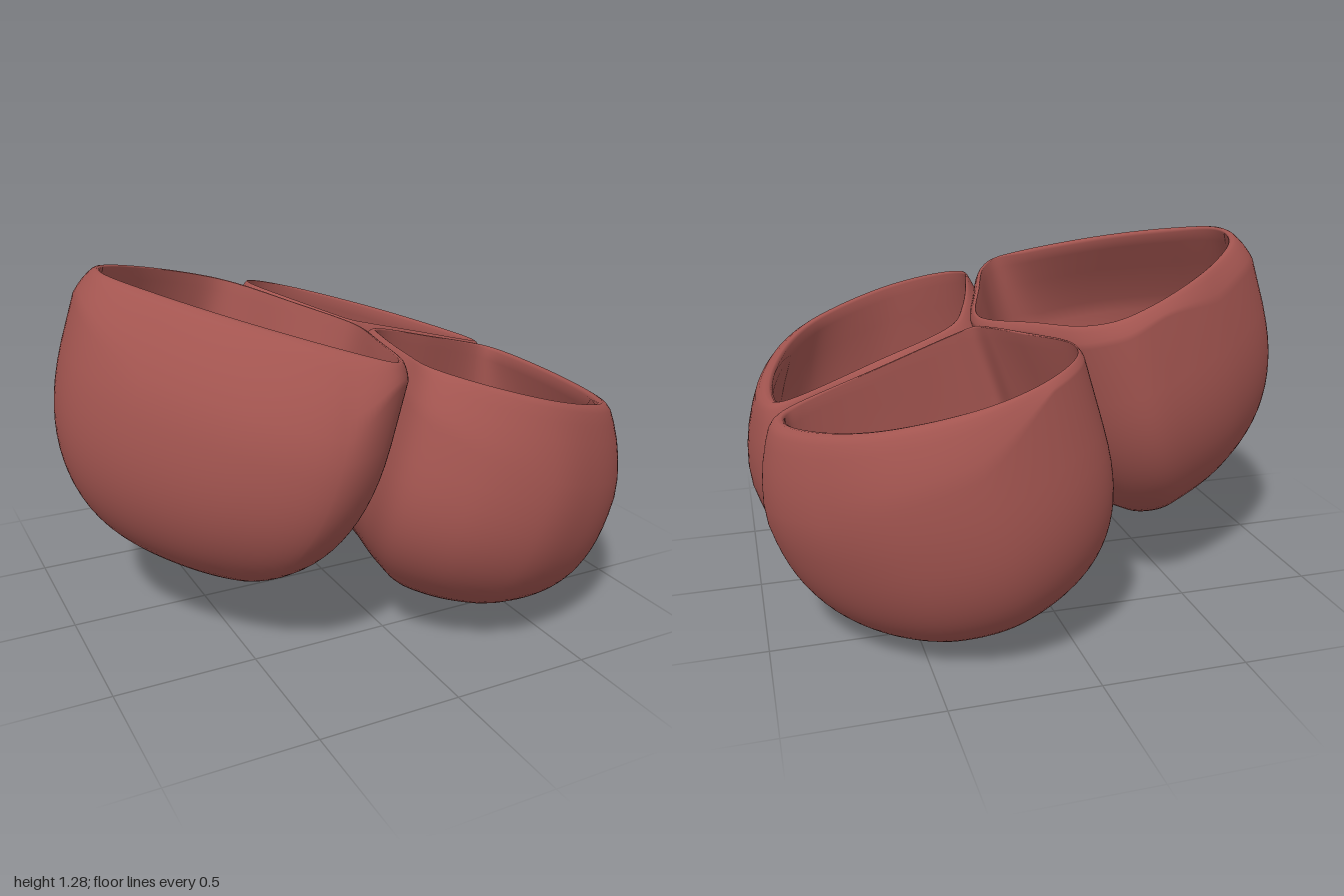
import * as THREE from 'three';

const SEGMENTS = 140;

// Smooth closed outline through [u, z] points
function outline(points) {
  const curve = new THREE.CatmullRomCurve3(points.map(([u, z]) => new THREE.Vector3(u, 0, z)), true);
  return Array.from({ length: SEGMENTS }, (_, i) => curve.getPoint(i / SEGMENTS));
}

// One hollow cup: inner bowl, rounded lip and outer bowl as a single loft.
// pairs: [opening u, opening z, belly u, belly z] going round the rim
function cupGeometry({ pairs, center, depth, power }) {
  const opening = outline(pairs.map(p => [p[0], p[1]]));
  const belly = outline(pairs.map(p => [p[2], p[3]]));
  const c = new THREE.Vector3(center[0], 0, center[1]);
  const innerBelly = belly.map(p => p.clone().lerp(c, 0.085));
  // thin shared walls get a tight lip, outer sides a long soft shoulder
  const softness = opening.map((p, i) => THREE.MathUtils.clamp((p.distanceTo(belly[i]) - 0.02) / 0.14, 0.12, 1));
  const bellyV = softness.map(s => -0.25 - 0.07 * s);
  const steps = 22;
  const rings = [];
  const add = (line, height) => rings.push(line.map((p, i) => new THREE.Vector3(p.x, height(i), p.z)));
  const mix = (a, b, t) => a.map((p, i) => p.clone().lerp(b[i], t));
  const bowl = (line, bottom, k) => {
    const a = (k / steps) * Math.PI / 2;
    const r = Math.max(Math.pow(Math.cos(a), 2 / power), 0.0005);
    const d = Math.pow(Math.sin(a), 2 / power);
    const mean = line.reduce((sum, p) => sum + p.distanceTo(c), 0) / SEGMENTS;
    // the section grows rounder towards the bottom
    const ring = line.map(p => c.clone().lerp(p, r * THREE.MathUtils.lerp(1, mean / p.distanceTo(c), 0.12 * d * d)));
    add(ring, i => bellyV[i] + (bottom - bellyV[i]) * d);
  };

  // inner bowl, bottom to opening
  for (let k = steps; k >= 0; k--) bowl(innerBelly, -depth + 0.05, k);
  add(mix(innerBelly, opening, 0.5), i => 0.5 * bellyV[i]);
  add(mix(innerBelly, opening, 0.9), i => 0.18 * bellyV[i]);
  // lip and shoulder
  const lip = [[0, -0.014], [0.06, -0.004], [0.14, 0], [0.25, -0.006], [0.36, -0.022],
    [0.5, -0.06], [0.68, -0.12], [0.82, -0.18], [0.94, -0.25]];
  lip.forEach(([t, v]) => add(mix(opening, belly, t), i => v * softness[i]));
  // outer bowl, belly to bottom
  for (let k = 0; k <= steps; k++) bowl(belly, -depth, k);

  const positions = [], index = [];
  rings.forEach(ring => ring.forEach(p => positions.push(p.x, p.y, p.z)));
  for (let j = 0; j < rings.length - 1; j++) {
    for (let i = 0; i < SEGMENTS; i++) {
      const n = (i + 1) % SEGMENTS;
      const a = j * SEGMENTS + i, b = j * SEGMENTS + n;
      index.push(a, b, a + SEGMENTS, b, b + SEGMENTS, a + SEGMENTS);
    }
  }
  const geometry = new THREE.BufferGeometry();
  geometry.setAttribute('position', new THREE.Float32BufferAttribute(positions, 3));
  geometry.setIndex(index);
  geometry.computeVertexNormals();
  return geometry;
}

const cups = {
  largeRightCup: {
    center: [-0.31, 0.05], depth: 0.94, power: 2.3,
    pairs: [
      [-0.83, 0, -0.915, 0.05], [-0.79, -0.2, -0.85, -0.25], [-0.6, -0.42, -0.59, -0.5],
      [-0.32, -0.59, -0.33, -0.635], [-0.17, -0.615, -0.17, -0.67], [-0.08, -0.55, -0.04, -0.59],
      [0.03, -0.33, 0.065, -0.34], [0.14, -0.11, 0.175, -0.11], [0.155, 0, 0.185, 0.01],
      [0.06, 0.33, 0.1, 0.34], [-0.05, 0.65, -0.01, 0.68], [-0.12, 0.72, -0.1, 0.78],
      [-0.25, 0.66, -0.25, 0.82], [-0.52, 0.45, -0.52, 0.68], [-0.73, 0.2, -0.82, 0.32],
    ],
  },
  frontCup: {
    center: [0.6, 0.29], depth: 0.863, power: 2.5,
    pairs: [
      [0.25, 0, 0.18, -0.03], [0.33, -0.06, 0.25, -0.09], [0.57, -0.125, 0.57, -0.17],
      [0.88, -0.195, 0.98, -0.255],
      [0.93, -0.17, 1.08, -0.2], [0.95, -0.05, 1.135, -0.03], [0.92, 0.25, 1.115, 0.25],
      [0.81, 0.6, 1.03, 0.58], [0.68, 0.78, 0.87, 0.82], [0.47, 0.88, 0.62, 0.95],
      [0.3, 0.885, 0.42, 0.99], [0.13, 0.8, 0.17, 0.93], [0.05, 0.68, 0.015, 0.78],
      [0.08, 0.5, 0.03, 0.55], [0.17, 0.18, 0.125, 0.18],
    ],
  },
  backCup: {
    center: [0.53, -0.53], depth: 0.86, power: 2.5,
    pairs: [
      [0.21, -0.145, 0.17, -0.105], [0.17, -0.21, 0.13, -0.2], [0.1, -0.4, 0.05, -0.39],
      [0.01, -0.68, -0.01, -0.65], [0.04, -0.8, 0.025, -0.81], [0.17, -0.9, 0.18, -0.94],
      [0.36, -0.92, 0.45, -1.0],
      [0.65, -0.8, 0.74, -0.91], [0.83, -0.61, 0.95, -0.72], [0.93, -0.4, 1.08, -0.5],
      [0.92, -0.31, 1.1, -0.36], [0.87, -0.28, 1.0, -0.255], [0.57, -0.215, 0.57, -0.175],
      [0.29, -0.15, 0.27, -0.115],
    ],
  },
};

export function createModel() {
  const model = new THREE.Group();
  model.name = 'tripleBowl';
  const clay = new THREE.MeshStandardMaterial({ color: 0xa35550 });
  clay.name = 'terracotta red';

  // All three rims share one sloping plane
  const tilted = new THREE.Group();
  tilted.name = 'tiltedCups';
  tilted.rotation.z = -0.287;
  tilted.position.y = 1.035;
  for (const [name, cup] of Object.entries(cups)) {
    const mesh = new THREE.Mesh(cupGeometry(cup), clay);
    mesh.name = name;
    tilted.add(mesh);
  }
  model.add(tilted);
  return model;
}
